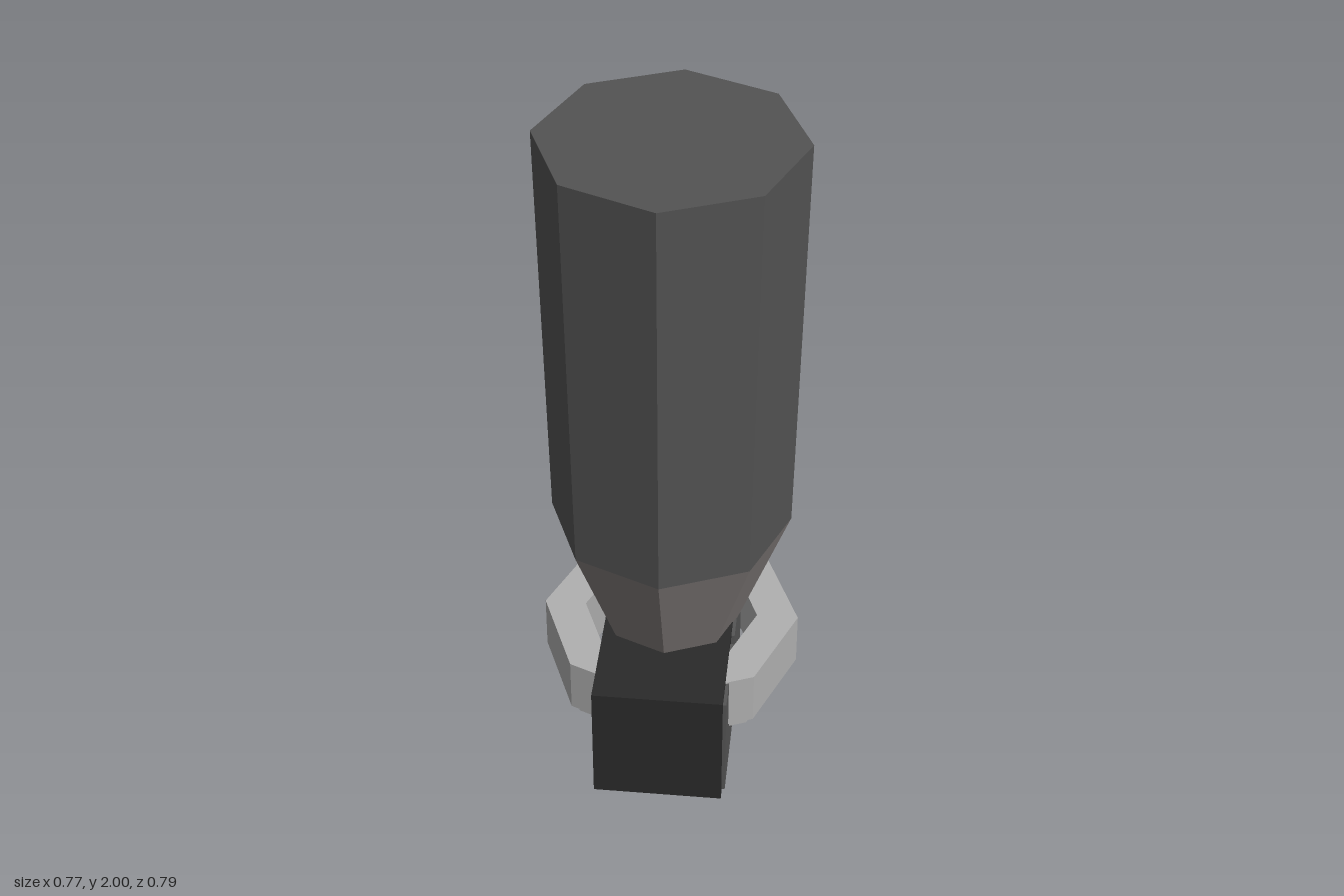
import * as THREE from 'three';

const mat = (color) => new THREE.MeshStandardMaterial({ color, flatShading: true });

export function createModel() {
  const model = new THREE.Group();
  const axisZ = -0.015; // shared axis of the octagonal parts

  const add = (name, geometry, material, x, y, z) => {
    const mesh = new THREE.Mesh(geometry, material);
    mesh.name = name;
    mesh.position.set(x, y, z);
    model.add(mesh);
    return mesh;
  };
  // Box given by its lower and upper corners
  const block = (name, material, a, b) => add(
    name,
    new THREE.BoxGeometry(b[0] - a[0], b[1] - a[1], b[2] - a[2]),
    material,
    (a[0] + b[0]) / 2, (a[1] + b[1]) / 2, (a[2] + b[2]) / 2);
  // Eight-sided upright cylinder between two heights
  const octagon = (name, material, rTop, rBottom, y0, y1) => add(
    name, new THREE.CylinderGeometry(rTop, rBottom, y1 - y0, 8), material, 0, (y0 + y1) / 2, axisZ);

  const bodyMat = mat(0x535353);
  const neckMat = mat(0x807a78);
  const ringMat = mat(0xb0b0b0);
  const boxMat = mat(0x2a2a2a);
  const panelMat = mat(0x555555);
  const tanMat = mat(0xcbb998);
  const housingMat = mat(0x8c8c8c);
  const greenMat = mat(0x4ad00f);

  // Tall body and the neck tapering into the base
  octagon('body', bodyMat, 0.37, 0.351, 0.755, 2);
  octagon('neck', neckMat, 0.351, 0.18, 0.3, 0.755);

  // Collar ring with a stepped lower lip
  const profile = [
    [0.27, 0.163], [0.353, 0.163], [0.353, 0.2], [0.383, 0.2],
    [0.383, 0.37], [0.26, 0.37], [0.27, 0.163],
  ].map(([r, y]) => new THREE.Vector2(r, y));
  add('collarRing', new THREE.LatheGeometry(profile, 8), ringMat, 0, 0, axisZ);

  // Base box with two raised panels on its left side
  block('baseBox', boxMat, [-0.19, 0, -0.2], [0.19, 0.385, 0.397]);
  for (const [z0, z1] of [[-0.185, 0.08], [0.115, 0.378]]) {
    block('sidePanel', panelMat, [0.18, 0.022, z0], [0.2, 0.365, z1]);
  }

  // Back plate: a frame around a recessed face
  const frame = new THREE.Shape([
    [-0.175, -0.173], [0.175, -0.173], [0.175, 0.173], [-0.175, 0.173],
  ].map(([x, y]) => new THREE.Vector2(x, y)));
  frame.holes.push(new THREE.Path([
    [-0.148, -0.146], [-0.148, 0.146], [0.148, 0.146], [0.148, -0.146],
  ].map(([x, y]) => new THREE.Vector2(x, y))));
  add('backPlateFrame', new THREE.ExtrudeGeometry(frame, { depth: 0.09, bevelEnabled: false }),
    tanMat, 0, 0.957, -0.39);
  block('backPlateFace', tanMat, [-0.15, 0.809, -0.378], [0.15, 1.105, -0.3]);

  // Button on the back of the neck
  const knob = (name, material, r, z0, z1) => {
    const mesh = add(name, new THREE.CylinderGeometry(r, r, z1 - z0, 8), material, 0, 0.545, (z0 + z1) / 2);
    mesh.rotation.x = Math.PI / 2;
  };
  knob('buttonHousing', housingMat, 0.095, -0.335, -0.18);
  knob('button', greenMat, 0.08, -0.365, -0.33);

  return model;
}
